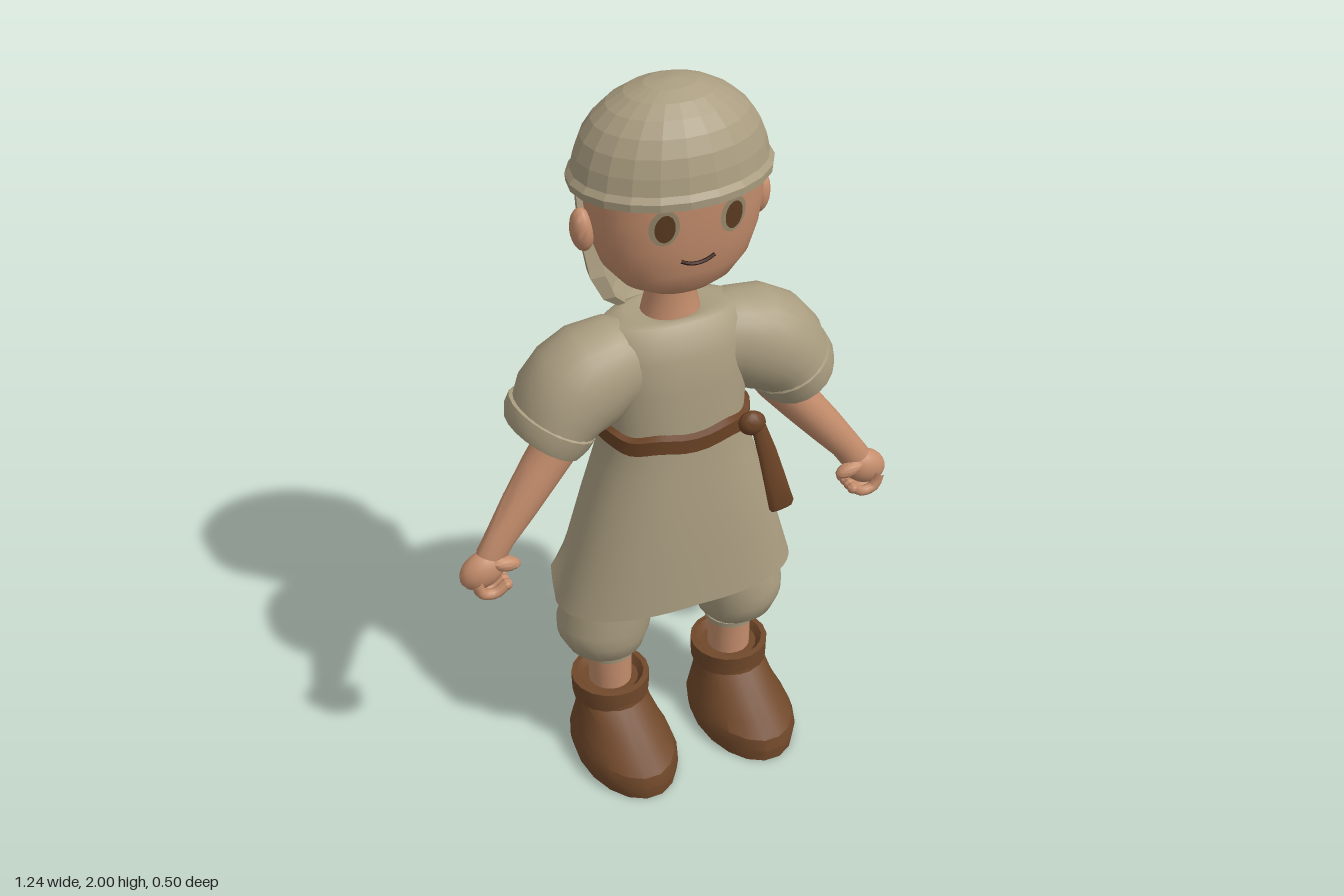
import * as THREE from 'three';
import { toCreasedNormals } from 'three/addons/utils/BufferGeometryUtils.js';

const mat = (name, color, side = THREE.FrontSide) =>
  Object.assign(new THREE.MeshStandardMaterial({ color, side }), { name });

// Skin a stack of point rings (each running from x towards z, stacked upwards)
function loft(rings, capStart = true, capEnd = true) {
  const n = rings[0].length, pos = [], idx = [];
  rings.forEach(r => r.forEach(p => pos.push(p.x, p.y, p.z)));
  for (let i = 0; i < rings.length - 1; i++)
    for (let j = 0; j < n; j++) {
      const a = i * n + j, b = i * n + (j + 1) % n;
      idx.push(a, a + n, b, b, a + n, b + n);
    }
  const cap = (k, flip) => {
    const c = new THREE.Vector3();
    rings[k].forEach(p => c.addScaledVector(p, 1 / n));
    const ci = pos.length / 3;
    pos.push(c.x, c.y, c.z);
    for (let j = 0; j < n; j++) {
      const a = k * n + j, b = k * n + (j + 1) % n;
      flip ? idx.push(ci, a, b) : idx.push(ci, b, a);
    }
  };
  if (capStart) cap(0, true);
  if (capEnd) cap(rings.length - 1, false);
  const g = new THREE.BufferGeometry();
  g.setAttribute('position', new THREE.Float32BufferAttribute(pos, 3));
  g.setIndex(idx);
  return g;
}

const bend = (v, e) => Math.sign(v) * Math.abs(v) ** (2 / e);

// Horizontal sections: [y, xMin, xMax, zFront, zBack]
const upright = (rows, n, e = 2) => rows.map(([y, x0, x1, zf, zb]) =>
  Array.from({ length: n }, (_, j) => {
    const a = j / n * Math.PI * 2;
    return new THREE.Vector3((x0 + x1) / 2 + (x1 - x0) / 2 * bend(Math.cos(a), e), y,
      (zf + zb) / 2 + (zf - zb) / 2 * bend(Math.sin(a), e));
  }));
const sym = rows => rows.map(([y, r, zf, zb]) => [y, -r, r, zf, zb]);

// Limb sections square to a path: [x, y, z, radius across, radius in z]
const limb = (rows, n) => rows.map(([x, y, z, r, rz], i) => {
  const p = rows[Math.max(0, i - 1)], q = rows[Math.min(rows.length - 1, i + 1)];
  const dx = q[0] - p[0], dy = q[1] - p[1], l = Math.hypot(dx, dy);
  return Array.from({ length: n }, (_, j) => {
    const a = j / n * Math.PI * 2, c = Math.cos(a) * r;
    return new THREE.Vector3(x + dy / l * c, y - dx / l * c, z + Math.sin(a) * rz);
  });
});

const blob = (x, y, z, rx, ry, rz, tilt = 0) =>
  new THREE.SphereGeometry(1, 18, 12).scale(rx, ry, rz).rotateZ(tilt).translate(x, y, z);

function mirrored(geo) {
  const g = geo.clone().scale(-1, 1, 1), ix = g.index;
  for (let i = 0; i < ix.count; i += 3) {
    const t = ix.getX(i);
    ix.setX(i, ix.getX(i + 1));
    ix.setX(i + 1, t);
  }
  return g;
}

export function createModel() {
  const root = new THREE.Group();
  root.name = 'figure';
  const cloth = mat('linen cloth', 0xaa9d80, THREE.DoubleSide), skin = mat('skin', 0xc48d6c);
  const leather = mat('boot leather', 0x70482a), strap = mat('belt leather', 0x6a4225);
  const eyeRim = mat('eye rim', 0x9c8d70), iris = mat('iris', 0x5e3d22), lip = mat('mouth line', 0x3a1e14);

  const add = (name, geo, m, crease = 0.9) => {
    const mesh = new THREE.Mesh(toCreasedNormals(geo, crease), m);
    mesh.name = name;
    root.add(mesh);
  };
  const pair = (name, geo, m, crease) => {
    add(name + 'Left', geo, m, crease);
    add(name + 'Right', mirrored(geo), m, crease);
  };

  // Head, neck and ears
  add('head', loft(upright(sym([[1.47, 0.06, 0.05, -0.07], [1.477, 0.1, 0.072, -0.1], [1.5, 0.146, 0.093, -0.13],
    [1.55, 0.188, 0.112, -0.15], [1.62, 0.213, 0.122, -0.16], [1.7, 0.224, 0.13, -0.17],
    [1.8, 0.22, 0.13, -0.17]]), 48, 2.3)), skin);
  add('neck', loft(upright(sym([[1.34, 0.085, 0.03, -0.12], [1.385, 0.075, 0.022, -0.11],
    [1.43, 0.064, 0.017, -0.1], [1.52, 0.062, 0.017, -0.1]]), 20)), skin);
  pair('ear', blob(0.235, 1.65, -0.035, 0.03, 0.058, 0.034, -0.08), skin, 1.2);

  // Face details lie on the curve of the head
  const faceZ = (x, y) => {
    const k = (y - 1.55) / 0.15, r = 0.188 + 0.036 * k, zf = 0.112 + 0.02 * k - 0.002 * k * k, zb = -0.15 - 0.02 * k;
    return (zf + zb) / 2 + (zf - zb) / 2 * (1 - Math.abs(x / r) ** 2.3) ** (1 / 2.3);
  };
  const disc = (rx, ry, off) => {
    const g = new THREE.CircleGeometry(1, 24).scale(rx, ry, 1).translate(0.09, 1.7, 0), p = g.attributes.position;
    for (let i = 0; i < p.count; i++) p.setZ(i, faceZ(p.getX(i), p.getY(i)) + off);
    return g;
  };
  pair('eyeRim', disc(0.037, 0.05, 0.005), eyeRim);
  pair('iris', disc(0.025, 0.039, 0.009), iris);
  const smile = [-0.045, -0.025, 0, 0.025, 0.045].map(x => {
    const y = 1.583 + 7 * x * x;
    return new THREE.Vector3(x, y, faceZ(x, y) + 0.003);
  });
  add('mouth', new THREE.TubeGeometry(new THREE.CatmullRomCurve3(smile), 16, 0.005, 6), lip);

  // Faceted cap with a rolled rim
  const dome = [[1.765, 0.21, 0.125, -0.205], [1.755, 0.26, 0.163, -0.242], [1.775, 0.262, 0.164, -0.243],
    [1.79, 0.25, 0.153, -0.232]];
  for (let i = 1; i <= 7; i++) {
    const a = i / 7.25 * Math.PI / 2, c = Math.cos(a);
    dome.push([1.785 + 0.215 * Math.sin(a), 0.247 * c, -0.04 + 0.19 * c, -0.04 - 0.19 * c]);
  }
  dome.push([2, 0.004, -0.036, -0.044]);
  add('cap', loft(upright(sym(dome), 22)), cloth, 0.1);

  // Neck cloth hanging from the back of the cap, a crescent in section
  const drape = [[1.325, 0.03, -0.14, -0.16], [1.335, 0.06, -0.125, -0.175], [1.365, 0.11, -0.1, -0.2],
    [1.41, 0.165, -0.08, -0.222], [1.48, 0.2, -0.075, -0.24], [1.58, 0.214, -0.095, -0.248],
    [1.7, 0.218, -0.11, -0.245], [1.78, 0.21, -0.12, -0.225]].map(([y, w, zf, zb]) => {
    const arc = k => Array.from({ length: 11 }, (_, i) => {
      const a = Math.PI * (1 + i / 10);
      return new THREE.Vector3(w * k * Math.cos(a), y, zf + (zf - zb) * k * Math.sin(a));
    });
    return [...arc(1), ...arc(0.8).reverse()];
  });
  add('neckCloth', loft(drape), cloth, 0.1);

  // Tunic body with a side slit on each hem
  const body = upright(sym([[0.53, 0.34, 0.145, -0.22], [0.7, 0.292, 0.14, -0.208], [0.85, 0.247, 0.13, -0.195],
    [0.95, 0.216, 0.12, -0.182], [1.03, 0.193, 0.112, -0.17], [1.09, 0.19, 0.108, -0.17], [1.2, 0.2, 0.104, -0.176],
    [1.29, 0.202, 0.092, -0.168], [1.345, 0.195, 0.07, -0.148], [1.37, 0.17, 0.05, -0.13],
    [1.377, 0.12, 0.035, -0.12], [1.372, 0.075, 0.022, -0.11]]), 64, 2.3);
  body[0].forEach(p => {
    p.y += 0.015 * (1 - Math.abs(p.x) / 0.34);
    if (Math.abs(p.x) > 0.2) p.y += 0.1 * Math.max(0, 1 - Math.abs(p.z + 0.085) / 0.05);
  });
  add('tunic', loft(body, false, false), cloth);

  // Sleeves and rolled cuffs
  pair('sleeve', loft(limb([[0.1, 1.25, -0.035, 0.115, 0.1], [0.16, 1.252, -0.035, 0.128, 0.118],
    [0.22, 1.237, -0.033, 0.14, 0.13], [0.27, 1.21, -0.032, 0.138, 0.132], [0.31, 1.172, -0.032, 0.126, 0.132],
    [0.35, 1.11, -0.032, 0.1, 0.125]], 28), true, false), cloth);
  pair('sleeveCuff', loft(limb([[0.325, 1.15, -0.034, 0.108, 0.122], [0.33, 1.14, -0.034, 0.12, 0.136],
    [0.347, 1.112, -0.034, 0.117, 0.134], [0.36, 1.09, -0.034, 0.105, 0.126],
    [0.352, 1.103, -0.034, 0.06, 0.07]].map((r, i) => i === 4 ? [0.362, 1.088, -0.034, 0.06, 0.07] : r), 20)),
    cloth, 0.5);

  // Arms and curled hands
  pair('arm', loft(limb([[0.25, 1.16, -0.04, 0.064, 0.068], [0.305, 1.07, -0.035, 0.06, 0.064],
    [0.37, 0.99, -0.025, 0.056, 0.058], [0.44, 0.905, -0.01, 0.05, 0.048], [0.5, 0.83, 0.003, 0.042, 0.036],
    [0.53, 0.785, 0.01, 0.042, 0.032], [0.55, 0.75, 0.015, 0.03, 0.025]], 18)), skin);
  pair('palm', blob(0.556, 0.752, 0.015, 0.066, 0.05, 0.04, -0.5), skin, 1.2);
  for (let i = 0; i < 4; i++) {
    const z = 0.05 - i * 0.021;
    const path = new THREE.CatmullRomCurve3([[0.585, 0.74], [0.572, 0.703], [0.535, 0.694], [0.507, 0.712]]
      .map(([x, y]) => new THREE.Vector3(x, y, z)));
    pair('finger' + (i + 1), new THREE.TubeGeometry(path, 8, 0.015, 8), skin, 1.2);
    pair('fingertip' + (i + 1), blob(0.505, 0.712, z, 0.016, 0.016, 0.015), skin, 1.2);
  }
  pair('thumb', blob(0.5, 0.768, 0.035, 0.042, 0.021, 0.022, 0.25), skin, 1.2);

  // Belt with knot and hanging end
  const belt = upright(sym([[1.03, 0.188, 0.108, -0.165], [1.036, 0.203, 0.125, -0.18],
    [1.076, 0.203, 0.125, -0.18], [1.086, 0.186, 0.105, -0.165]]), 48, 2.3);
  belt.forEach(r => r.forEach((p, j) => { p.y += 0.005 * Math.sin(j / 48 * Math.PI * 14); }));
  add('belt', loft(belt, false, false), strap);
  add('beltKnot', blob(0.16, 1.066, 0.112, 0.038, 0.034, 0.026, -0.3), strap, 1.2);
  add('beltEnd', loft(limb([[0.228, 0.808, 0.163, 0.03, 0.006], [0.226, 0.82, 0.163, 0.036, 0.01],
    [0.21, 0.9, 0.15, 0.031, 0.011], [0.193, 0.98, 0.138, 0.026, 0.012], [0.175, 1.055, 0.12, 0.02, 0.012]], 12)), strap);

  // Baggy trouser legs gathered below the knee
  pair('trouserLeg', loft(upright([[0.318, 0.125, 0.248, 0.012, -0.112], [0.328, 0.115, 0.262, 0.03, -0.125],
    [0.355, 0.092, 0.305, 0.06, -0.155], [0.4, 0.075, 0.328, 0.073, -0.168], [0.44, 0.066, 0.33, 0.075, -0.17],
    [0.52, 0.042, 0.296, 0.072, -0.165], [0.62, 0.02, 0.26, 0.065, -0.155], [0.72, 0.01, 0.22, 0.05, -0.14]], 24)), cloth);
  pair('trouserCuff', loft(upright([[0.302, 0.128, 0.242, 0.008, -0.106], [0.306, 0.115, 0.255, 0.02, -0.12],
    [0.322, 0.113, 0.257, 0.022, -0.122], [0.332, 0.125, 0.245, 0.01, -0.11]], 20)), cloth);
  pair('shin', new THREE.CylinderGeometry(0.062, 0.058, 0.18, 20).translate(0.183, 0.25, -0.05), skin);

  // Boots with a folded top
  pair('boot', loft(upright([[0, 0.05, 0.312, 0.25, -0.178], [0.035, 0.044, 0.32, 0.252, -0.182],
    [0.068, 0.054, 0.31, 0.243, -0.178], [0.092, 0.066, 0.298, 0.195, -0.17], [0.125, 0.078, 0.286, 0.13, -0.16],
    [0.165, 0.085, 0.28, 0.06, -0.154], [0.2, 0.085, 0.28, 0.055, -0.154]], 18)), leather, 0.6);
  pair('bootCuff', loft(upright([[0.17, 0.09, 0.276, 0.045, -0.145], [0.163, 0.076, 0.29, 0.058, -0.157],
    [0.223, 0.074, 0.292, 0.06, -0.159], [0.225, 0.09, 0.276, 0.044, -0.143],
    [0.205, 0.105, 0.261, 0.028, -0.128]], 18)), leather, 0.6);

  return root;
}
